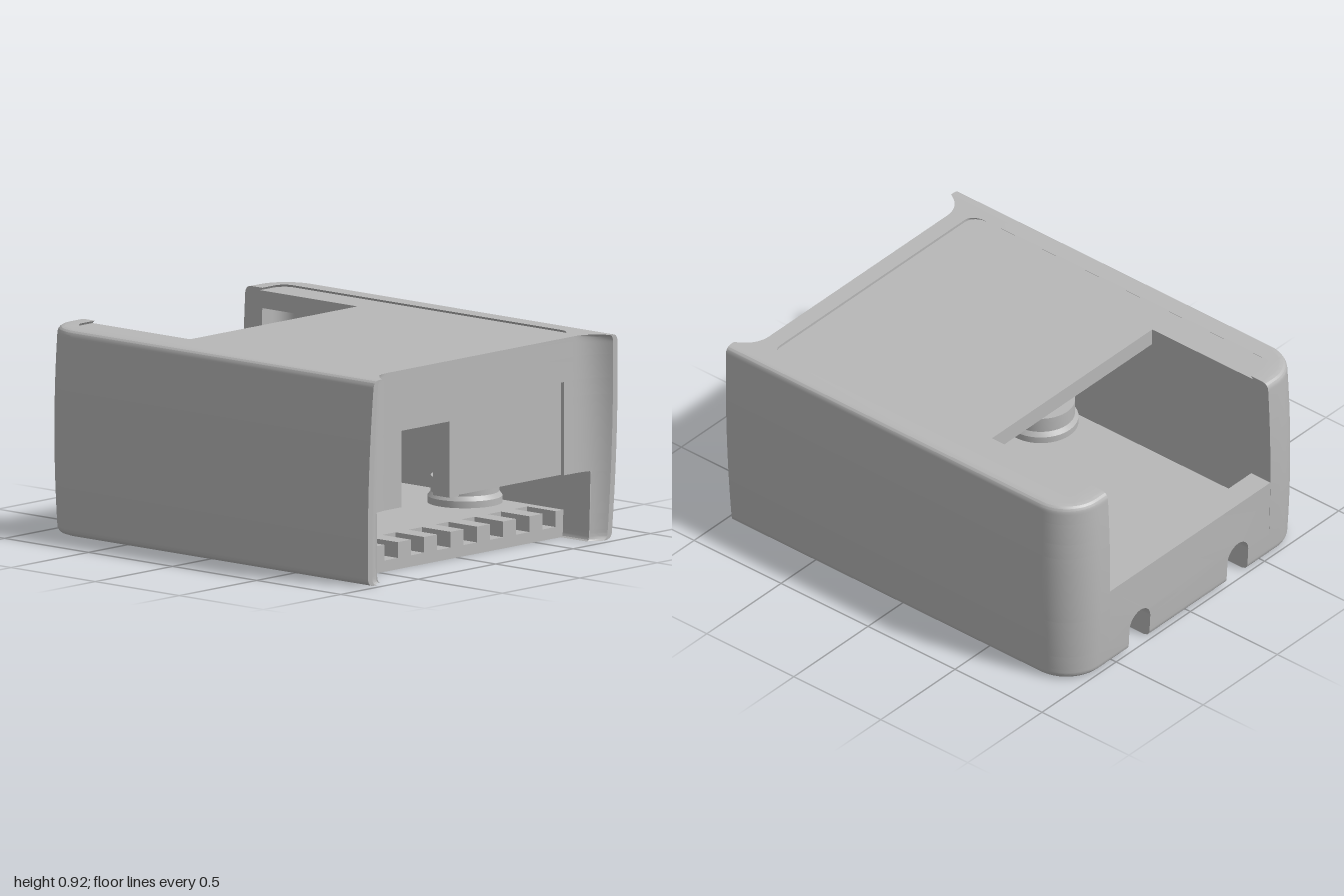
import * as THREE from 'three';
import { toCreasedNormals } from 'three/addons/utils/BufferGeometryUtils.js';

const H = 0.92;
const V = (x, v) => new THREE.Vector2(x, v);
const clamp01 = (t) => Math.min(1, Math.max(0, t));

// Plan drawings use (x, v) with v = -z, so the back of the case is v = 1.
function arc(cx, cv, r, a0, a1, n = 12) {
  return Array.from({ length: n + 1 }, (_, i) => {
    const a = a0 + (a1 - a0) * i / n;
    return V(cx + r * Math.cos(a), cv + r * Math.sin(a));
  });
}
const mirrored = (pts) => pts.map((p) => V(-p.x, p.y));
const symmetric = (half) => new THREE.Shape([...half, ...mirrored(half).reverse()]);

// Inset of the outer skin: gentle barrel plus rounded top and bottom edges.
function inset(y) {
  const r = 0.03, t = Math.max(0, Math.min(y, H - y));
  const round = t < r ? r - Math.sqrt(r * r - (r - t) ** 2) : 0;
  return 0.015 * ((y - H / 2) / (H / 2)) ** 2 + round;
}
function warp(geo) {
  const p = geo.attributes.position;
  for (let i = 0; i < p.count; i++) {
    const x = p.getX(i), y = p.getY(i), z = p.getZ(i), d = inset(y);
    p.setX(i, x - Math.sign(x) * d * clamp01((Math.abs(x) - 0.6) / 0.2));
    p.setZ(i, z + d * clamp01((-z - 0.8) / 0.2)
      - 0.035 * (1 - y / H) * clamp01((z - 0.91) / 0.09));
  }
  return toCreasedNormals(geo, 0.35);
}

export function createModel() {
  const model = new THREE.Group();
  model.name = 'deviceCase';
  const grey = new THREE.MeshStandardMaterial({ color: 0xb8b8b8 });
  grey.name = 'light grey plastic';

  function add(name, geo, x = 0, y = 0, z = 0) {
    const m = new THREE.Mesh(geo, grey);
    m.name = name;
    m.position.set(x, y, z);
    model.add(m);
    return m;
  }
  function layer(name, shape, y0, y1, steps) {
    const geo = new THREE.ExtrudeGeometry(shape,
      { depth: y1 - y0, steps, bevelEnabled: false, curveSegments: 24 });
    geo.rotateX(-Math.PI / 2).translate(0, y0, 0);
    add(name, warp(geo));
  }

  // Outer plan of one half, from the back corner to the front horn
  const corner = [...arc(0.6, 0.8, 0.2, Math.PI / 2, 0), V(0.8, -1), V(0.77, -1)];
  const flare = new THREE.QuadraticBezierCurve(V(0.77, -1), V(0.71, -0.91), V(0.6, -0.91)).getPoints(10).slice(1);
  const closedHalf = [...corner, ...flare];
  const openHalf = [...corner, ...flare.filter((p) => p.x > 0.695), V(0.69, -0.935)];
  const innerCorner = arc(0.61, 0.81, 0.08, 0, Math.PI / 2, 8);

  // Floor with rear slots, front grooves and holes
  const slot = [V(0.26, 1), ...arc(0.33, 0.81, 0.07, Math.PI, 2 * Math.PI), V(0.4, 1)];
  const circle = (x, v, r) => new THREE.Path().absarc(x, v, r, 0, Math.PI * 2, true);
  function floorShape(grooves, centreHole) {
    const half = [...slot, ...openHalf, V(0.69, -0.77)];
    if (grooves) {
      for (const x of [0.595, 0.425, 0.255, 0.085]) {
        half.push(V(x + 0.043, -0.77), V(x + 0.043, -0.6), V(x - 0.043, -0.6), V(x - 0.043, -0.77));
      }
    }
    const s = symmetric(half);
    s.holes.push(centreHole, circle(0.54, -0.32, 0.12), circle(-0.54, -0.32, 0.12));
    return s;
  }
  const labelRecess = new THREE.Path([V(-0.37, 0.61), V(0.37, 0.61), V(0.37, -0.75), V(-0.37, -0.75)]);
  layer('floorUnderside', floorShape(false, labelRecess), 0, 0.006, 1);
  layer('floor', floorShape(false, circle(0, 0.22, 0.22)), 0.006, 0.05, 6);
  layer('groovedFloor', floorShape(true, circle(0, 0.22, 0.22)), 0.05, 0.12, 2);

  // Centre disc held by four spokes in the round floor hole
  add('centreDisc', new THREE.CylinderGeometry(0.15, 0.16, 0.114, 40), 0, 0.063, -0.22);
  for (let i = 0; i < 4; i++) {
    const a = i * Math.PI / 2;
    const spoke = add('discSpoke', new THREE.BoxGeometry(0.04, 0.1, 0.09),
      0.185 * Math.sin(a), 0.066, -0.22 - 0.185 * Math.cos(a));
    spoke.rotation.y = -a;
  }

  // Side walls; endX is how far the front wall reaches across from that side
  function wallShape(side, endX, recessed) {
    let pts = [V(0.54, 1)];
    if (endX === null) {
      pts.push(...openHalf);
    } else {
      pts.push(...closedHalf);
      if (recessed) {
        pts.push(V(0.54, -0.91), V(0.54, -0.89), V(-0.14, -0.89), V(-0.14, -0.91));
      }
      pts.push(V(endX, -0.91), V(endX, -0.81), V(0.69, -0.81));
    }
    pts.push(...innerCorner, V(0.54, 0.89));
    if (side < 0) pts = mirrored(pts);
    return new THREE.Shape(pts);
  }
  layer('leftLowerWall', wallShape(1, null), 0.12, 0.31, 3);
  layer('rightLowerWall', wallShape(-1, null), 0.12, 0.31, 3);
  layer('leftWallBesideWindow', wallShape(1, -0.2, true), 0.31, 0.65, 6);
  layer('rightWallBesideWindow', wallShape(-1, 0.51), 0.31, 0.65, 6);
  layer('leftWallAboveWindow', wallShape(1, -0.2, true), 0.65, 0.725, 2);
  layer('rightWallAboveWindow', wallShape(-1, 0.2), 0.65, 0.725, 2);
  layer('leftUpperWall', wallShape(1, -0.2), 0.725, 0.83, 3);
  layer('rightUpperWall', wallShape(-1, 0.2), 0.725, 0.83, 3);

  // Roof with rear cut-out, and the raised rim around the top panel
  layer('roof', symmetric([V(0.54, 0.32), V(0.54, 1), ...closedHalf]), 0.83, 0.908, 8);
  const rimInner = [...arc(0.63, -0.76, 0.07, -Math.PI / 2, 0, 6),
    ...arc(0.63, 0.84, 0.07, 0, Math.PI / 2, 6), V(0.54, 0.91)];
  const rimHalf = [...rimInner, V(0.54, 1), ...closedHalf];
  const rim = [...rimHalf, ...mirrored(rimHalf).reverse()];
  layer('topRim', new THREE.Shape(rim), 0.908, H, 3);

  // Low rear wall with two arched slots
  const backHalf = [V(0.54, 0.4), V(0.54, 0.12), V(0.4, 0.12),
    ...arc(0.33, 0.115, 0.07, 0.1, Math.PI - 0.1), V(0.26, 0.12)];
  const back = new THREE.ExtrudeGeometry(symmetric(backHalf), { depth: 0.11, bevelEnabled: false });
  add('rearWall', warp(back.translate(0, 0, -1)));

  // Screw bosses on the floor and posts hanging from the roof
  const bossProfile = [V(0.115, 0.115), V(0.165, 0.115), V(0.165, 0.15), V(0.15, 0.17),
    V(0.15, 0.24), V(0.1, 0.24), V(0.1, 0.115), V(0.115, 0.115)];
  for (const x of [-0.54, 0.54]) {
    add('screwBoss', toCreasedNormals(new THREE.LatheGeometry(bossProfile, 40), 0.5), x, 0, 0.32);
    add('screwPost', new THREE.CylinderGeometry(0.115, 0.11, 0.53, 40), x, 0.575, 0.32);
  }
  return model;
}
